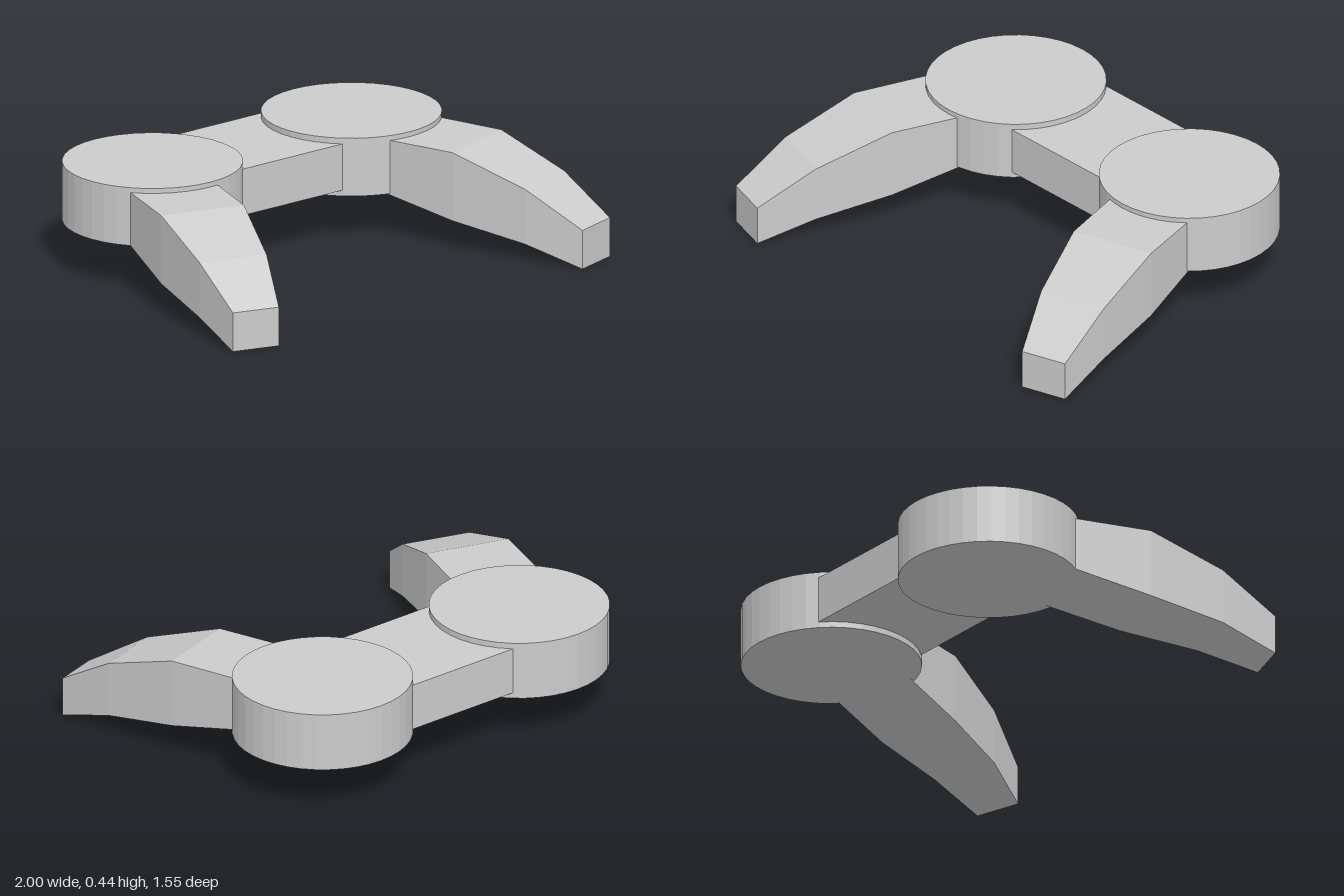
import * as THREE from 'three';

const material = new THREE.MeshStandardMaterial({ color: 0xcccccc, flatShading: true });

function addMesh(parent, name, geometry, x = 0, y = 0, z = 0) {
  const mesh = new THREE.Mesh(geometry, material);
  mesh.name = name;
  mesh.position.set(x, y, z);
  parent.add(mesh);
  return mesh;
}

// Four-sided arm lofted through sections, from the tip back to the root.
// section: [outer x, outer z, inner x, inner z, bottom, top]
function armGeometry(sections, mirrored) {
  const positions = [];
  const rings = sections.map(([ox, oz, ix, iz, bottom, top]) => [
    [ox, bottom, oz], [ix, bottom, iz], [ix, top, iz], [ox, top, oz],
  ]);
  const quad = (a, b, c, d) => {
    const corners = mirrored ? [a, c, b, a, d, c] : [a, b, c, a, c, d];
    corners.forEach((p) => positions.push(...p));
  };
  quad(...rings[0]);
  for (let k = 0; k < rings.length - 1; k++) {
    for (let j = 0; j < 4; j++) {
      const n = (j + 1) % 4;
      quad(rings[k][j], rings[k + 1][j], rings[k + 1][n], rings[k][n]);
    }
  }
  quad(...[...rings[rings.length - 1]].reverse());
  const geometry = new THREE.BufferGeometry();
  geometry.setAttribute('position', new THREE.Float32BufferAttribute(positions, 3));
  geometry.computeVertexNormals();
  return geometry;
}

export function createModel() {
  const model = new THREE.Group();
  model.name = 'twoArmedBase';

  // Round hubs
  const hub = new THREE.CylinderGeometry(0.372, 0.372, 0.25, 40);
  addMesh(model, 'rightHub', hub, -0.515, 0.32, -0.403);
  addMesh(model, 'leftHub', hub, 0.54, 0.32, -0.403);

  // Bar joining the hubs
  addMesh(model, 'crossBar', new THREE.BoxGeometry(0.8, 0.2, 0.53), 0.01, 0.32, -0.405);

  // Arms curving forward and down; the root is buried in the hub
  addMesh(model, 'rightArm', armGeometry([
    [-1.0, 0.71, -0.805, 0.77, 0, 0.167],
    [-0.972, 0.46, -0.69, 0.55, 0.078, 0.315],
    [-0.91, 0.135, -0.56, 0.245, 0.13, 0.424],
    [-0.793, -0.25, -0.435, -0.15, 0.21, 0.424],
  ], false));
  addMesh(model, 'leftArm', armGeometry([
    [1.0, 0.71, 0.805, 0.77, 0, 0.167],
    [0.962, 0.46, 0.68, 0.55, 0.078, 0.315],
    [0.895, 0.135, 0.545, 0.245, 0.13, 0.424],
    [0.775, -0.25, 0.415, -0.15, 0.21, 0.424],
  ], true));

  return model;
}
